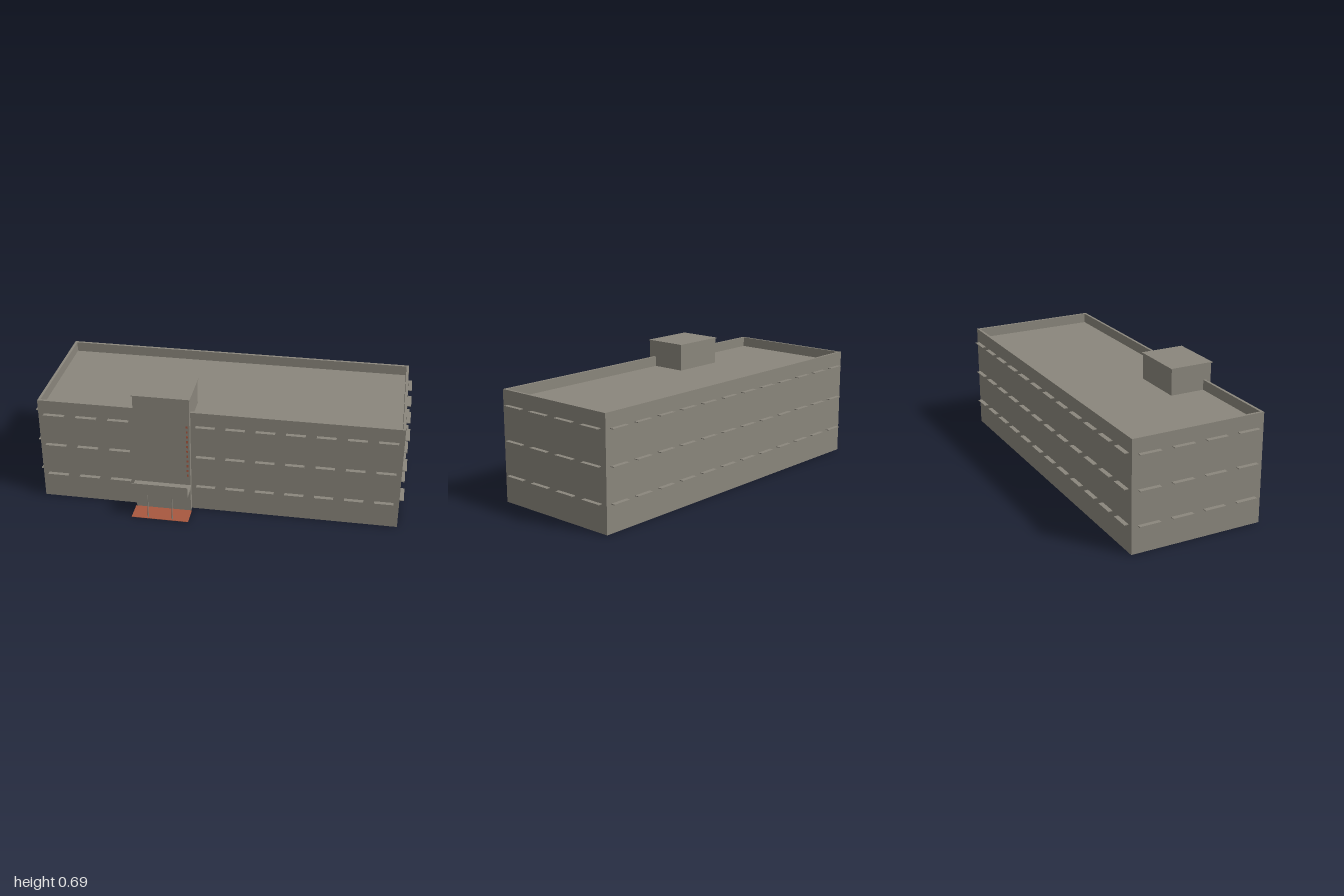
import * as THREE from 'three';

export function createModel() {
  const model = new THREE.Group();
  const concrete = new THREE.MeshStandardMaterial({ color: 0x8a867c, side: THREE.DoubleSide });
  concrete.name = 'warm grey concrete';
  const red = new THREE.MeshStandardMaterial({ color: 0xa8583f, side: THREE.DoubleSide });
  red.name = 'brick red';

  const add = (name, geo, mat = concrete) => {
    const mesh = new THREE.Mesh(geo, mat);
    mesh.name = name;
    model.add(mesh);
    return mesh;
  };
  // Box given by its limits on each axis
  const box = (name, x0, x1, y0, y1, z0, z1, mat) =>
    add(name, new THREE.BoxGeometry(x1 - x0, y1 - y0, z1 - z0), mat)
      .position.set((x0 + x1) / 2, (y0 + y1) / 2, (z0 + z1) / 2);
  // Upright sheet facing z
  const sheetZ = (name, x0, x1, y0, y1, z) =>
    add(name, new THREE.PlaneGeometry(x1 - x0, y1 - y0))
      .position.set((x0 + x1) / 2, (y0 + y1) / 2, z);
  // Upright sheet facing x, outlined by [z, y] points
  const sheetX = (name, x, pts) => {
    const shape = new THREE.Shape(pts.map(([z, y]) => new THREE.Vector2(-z, y)));
    const mesh = add(name, new THREE.ShapeGeometry(shape));
    mesh.rotation.y = Math.PI / 2;
    mesh.position.x = x;
  };

  const W = 0.976, B = -0.425, F = 0.31, H = 0.6, R = 0.545, P = 0.015;
  const TL = -0.445, TR = -0.143, TF = 0.34, TB = 0.1, TH = 0.688;

  // Hollow main block, open below, with a gap behind the tower
  sheetZ('backWall', -W, W, 0, H, B);
  sheetZ('frontWallRight', -W, TL, 0, H, F);
  sheetZ('frontWallLeft', TR, W, 0, H, F);
  for (const s of [-1, 1]) sheetX('sideWall', s * W, [[F, 0], [B, 0], [B, H], [F, H]]);
  const roof = add('roof', new THREE.PlaneGeometry(2 * W, F - B));
  roof.rotation.x = -Math.PI / 2;
  roof.position.set(0, R, (F + B) / 2);

  // Parapet: inner faces and top rims set inside the walls
  const e = 0.0005;
  box('backParapet', -W + e, W - e, R, H, B + e, B + P);
  box('frontParapetRight', -W + e, TL, R, H, F - P, F - e);
  box('frontParapetLeft', TR, W - e, R, H, F - P, F - e);
  for (const s of [-1, 1]) {
    const c = s * (W - P / 2);
    box('sideParapet', c - P / 2 + e, c + P / 2 - e, R, H, B + P, F - P);
  }

  // Entrance tower, rising through the roof
  sheetZ('towerFront', TL, TR, 0, TH, TF);
  sheetZ('towerBack', TL, TR, R, TH, TB);
  for (const x of [TL, TR]) {
    sheetX('towerSide', x, [[F, 0], [TF, 0], [TF, TH], [TB, TH], [TB, R], [F, R]]);
  }
  box('towerCap', TL - 0.005, TR + 0.005, TH, TH + 0.006, TB - 0.005, TF + 0.005);

  // Small red marks down the tower edge
  for (let i = 0; i < 11; i++) {
    const y = 0.22 + i * 0.03;
    box('towerMark', -0.162, -0.152, y, y + 0.014, TF - 0.001, TF + 0.0005, red);
  }

  // Canopy, fascia, posts and entrance mat
  box('canopy', TL - 0.005, TR + 0.005, 0.154, 0.167, TF, 0.448);
  box('canopyFascia', TL - 0.005, TR + 0.005, 0.154, 0.219, 0.448, 0.45);
  for (const x of [-0.36, -0.227]) {
    const post = add('canopyPost', new THREE.CylinderGeometry(0.003, 0.003, 0.154, 10));
    post.position.set(x, 0.077, 0.437);
  }
  box('entranceMat', TL - 0.005, TR + 0.005, 0, 0.002, TF, 0.45, red);

  // Window shades, one per bay on three floors
  const shades = (name, a, b, n, wall, out, alongX) => {
    const bay = (b - a) / n, half = bay * 0.32;
    const lo = Math.min(wall, wall + out), hi = Math.max(wall, wall + out);
    for (const y of [0.15, 0.336, 0.521]) {
      for (let i = 0; i < n; i++) {
        const c = a + bay * (i + 0.5);
        if (alongX) box(name, c - half, c + half, y - 0.002, y + 0.002, lo, hi);
        else box(name, lo, hi, y - 0.002, y + 0.002, c - half, c + half);
      }
    }
  };
  shades('frontShade', -W, TL, 3, F, 0.023, true);
  shades('frontShade', TR, W, 7, F, 0.023, true);
  shades('backShade', -W, W, 12, B, -0.024, true);
  shades('leftShade', B, F, 4, W, 0.024, false);
  shades('rightShade', B, F, 4, -W, -0.024, false);

  return model;
}
